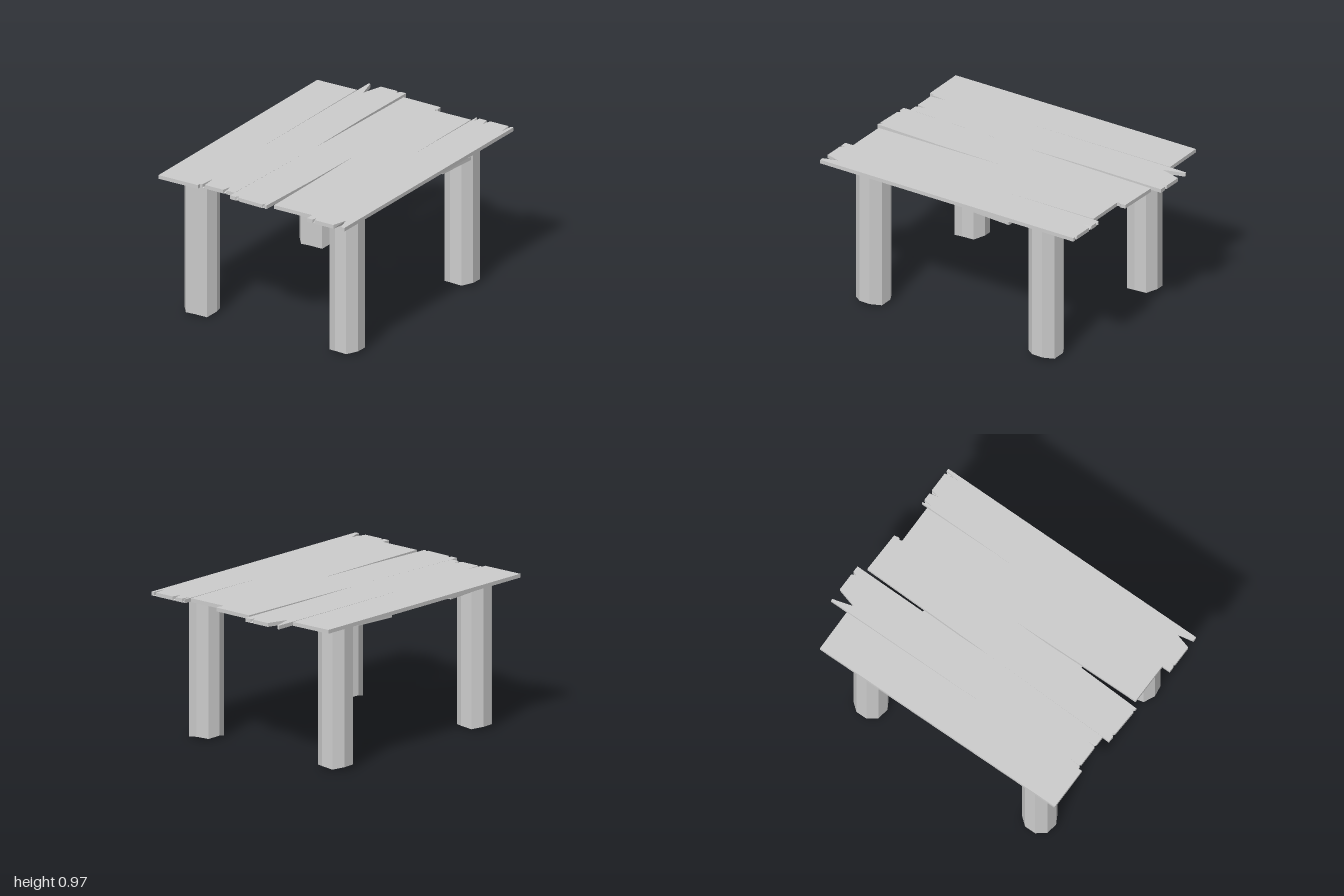
import * as THREE from 'three';

const TOP = 0.97, UNDER = 0.945;
const material = new THREE.MeshStandardMaterial({ color: 0xcccccc, flatShading: true });

function addMesh(parent, geometry, name) {
  const mesh = new THREE.Mesh(geometry, material);
  mesh.name = name;
  parent.add(mesh);
  return mesh;
}

// Points of the V-shaped chips along an end, each chip being [x, halfWidth, depth, depthUnder]
function chippedEnd(from, to, chips, inward) {
  const along = Math.sign(to[0] - from[0]);
  return chips.flatMap(([x, half, depth, depthUnder = 0.01]) => {
    const z = THREE.MathUtils.mapLinear(x, from[0], to[0], from[1], to[1]);
    return [[x - half * along, z], [x, z + depth * inward, z + depthUnder * inward], [x + half * along, z]];
  });
}

// Board between two side edges of [x, z] points (back to front), chipped at its ends
function plankGeometry(left, right, backChips = [], frontChips = []) {
  const outline = [
    ...chippedEnd(left[0], right[0], backChips, 1),
    ...right,
    ...chippedEnd(right.at(-1), left.at(-1), frontChips, -1),
    ...left.toReversed(),
  ];
  const upper = outline.map(([x, z]) => new THREE.Vector3(x, TOP, z));
  const lower = outline.map(([x, z, zUnder = z]) => new THREE.Vector3(x, UNDER, zUnder));
  const triangles = [];
  for (const [ring, sign] of [[upper, 1], [lower, -1]]) {
    const flat = ring.map((p) => new THREE.Vector2(p.x, p.z));
    for (const [i, j, k] of THREE.ShapeUtils.triangulateShape(flat, [])) {
      const a = ring[i], b = ring[j], c = ring[k];
      const ny = (b.z - a.z) * (c.x - a.x) - (b.x - a.x) * (c.z - a.z);
      triangles.push(...(ny * sign > 0 ? [a, b, c] : [a, c, b]));
    }
  }
  upper.forEach((a, i) => {
    const j = (i + 1) % upper.length;
    triangles.push(a, upper[j], lower[j], a, lower[j], lower[i]);
  });
  const geometry = new THREE.BufferGeometry().setFromPoints(triangles);
  geometry.computeVertexNormals();
  return geometry;
}

// Nine-sided post with a recessed foot and an uneven lower rim
function legGeometry(side) {
  const sides = 9, radius = 0.113, inner = 0.098, rim = 0.01;
  const rimHeights = [0.02, 0, 0.02, 0.008, 0.018, 0.005, 0.018, 0.02, 0.01];
  const profile = [[0, 0.07], [inner, 0.07], [inner, rim], [radius, rim], [radius, UNDER], [0, UNDER]]
    .map(([r, y]) => new THREE.Vector2(r, y));
  const lathe = new THREE.LatheGeometry(profile, sides, THREE.MathUtils.degToRad(-10 * side), Math.PI * 2);
  const pos = lathe.attributes.position;
  for (let i = 0; i <= sides; i++) {
    const k = side > 0 ? (sides - i) % sides : i % sides;
    for (const j of [2, 3]) pos.setY(i * profile.length + j, rimHeights[k]);
  }
  const geometry = lathe.toNonIndexed();
  geometry.computeVertexNormals();
  return geometry;
}

export function createModel() {
  const table = new THREE.Group();
  table.name = 'table';

  // Worn top boards, from right to left
  const top = new THREE.Group();
  top.name = 'tableTop';
  table.add(top);
  addMesh(top, plankGeometry(
    [[-0.725, -0.87], [-0.718, 0.945]],
    [[-0.43, -0.875], [-0.424, 0.28], [-0.424, 0.942]],
  ), 'outerRightPlank');
  addMesh(top, plankGeometry(
    [[-0.425, -1], [-0.424, 0.915]],
    [[-0.143, -1], [-0.147, -0.5], [-0.14, 0.02], [-0.165, 0.915]],
    [[-0.372, 0.04, 0.14, 0.14], [-0.197, 0.012, 0.03]],
    [[-0.237, 0.013, 0.06], [-0.398, 0.01, 0.105]],
  ), 'innerRightPlank');
  addMesh(top, plankGeometry(
    [[-0.12, -0.94], [-0.14, 0.02], [-0.165, 0.965]],
    [[0.16, -0.935], [0.166, -0.9], [0.155, -0.89], [0.16, -0.87], [0.14, 0.03], [0.134, 0.5], [0.115, 0.975]],
    [],
    [[0.093, 0.01, 0.022], [-0.11, 0.015, 0.018]],
  ), 'middlePlank');
  addMesh(top, plankGeometry(
    [[0.16, -0.873], [0.14, 0.03], [0.148, 0.5], [0.152, 0.942]],
    [[0.43, -0.875], [0.434, -0.22], [0.438, 0.942]],
  ), 'innerLeftPlank');
  addMesh(top, plankGeometry(
    [[0.437, -0.92], [0.434, -0.22], [0.438, 1]],
    [[0.72, -0.92], [0.72, 1]],
    [[0.455, 0.01, 0.055], [0.53, 0.014, 0.06], [0.692, 0.01, 0.095]],
    [[0.664, 0.028, 0.1, 0.14], [0.488, 0.008, 0.032]],
  ), 'outerLeftPlank');

  // Crooked battens under the boards
  for (const [name, length, x, z, turn] of [
    ['frontBatten', 1.32, -0.02, 0.4, 0.1],
    ['backBatten', 1.41, 0.01, -0.34, -0.075],
  ]) {
    const batten = addMesh(table, new THREE.BoxGeometry(length, 0.022, 0.29), name);
    batten.position.set(x, UNDER - 0.011, z);
    batten.rotation.y = turn;
  }

  // Four legs
  for (const [sideName, side] of [['Left', 1], ['Right', -1]]) {
    for (const [end, z] of [['front', 0.708], ['back', -0.6]]) {
      addMesh(table, legGeometry(side), `${end}${sideName}Leg`).position.set(0.548 * side, 0, z);
    }
  }
  return table;
}
